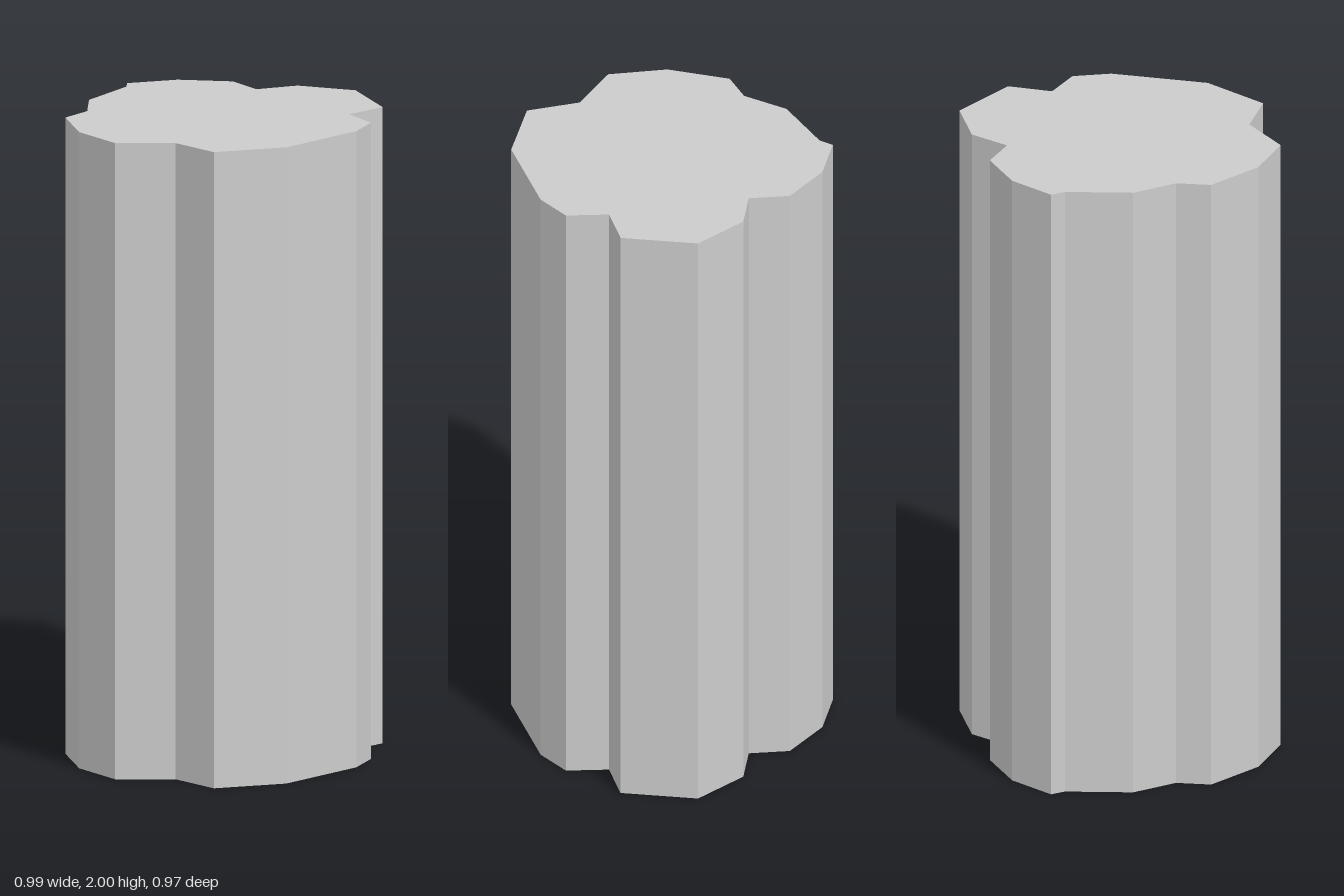
import * as THREE from 'three';

const HEIGHT = 2;

// Lobed cross-section as (x, z) corners, walked around the column
const OUTLINE = [
  [-0.125, -0.488], [0.035, -0.476], [0.185, -0.394], [0.214, -0.271],
  [0.35, -0.271], [0.493, -0.149], [0.49, 0.09], [0.36, 0.142],
  [0.382, 0.272], [0.3, 0.36], [0.023, 0.485], [-0.207, 0.465],
  [-0.273, 0.311], [-0.446, 0.244], [-0.496, 0.068], [-0.466, -0.128],
  [-0.373, -0.184], [-0.314, -0.322], [-0.145, -0.445],
];

export function createModel() {
  const model = new THREE.Group();
  model.name = 'column';

  const stone = new THREE.MeshStandardMaterial({ color: 0xcccccc });
  stone.name = 'light grey stone';

  // Straight prism: extrude along z, then stand it upright
  const shape = new THREE.Shape(OUTLINE.map(([x, z]) => new THREE.Vector2(x, -z)));
  const geometry = new THREE.ExtrudeGeometry(shape, { depth: HEIGHT, bevelEnabled: false });
  geometry.rotateX(-Math.PI / 2);

  const shaft = new THREE.Mesh(geometry, stone);
  shaft.name = 'lobedShaft';
  model.add(shaft);
  return model;
}
